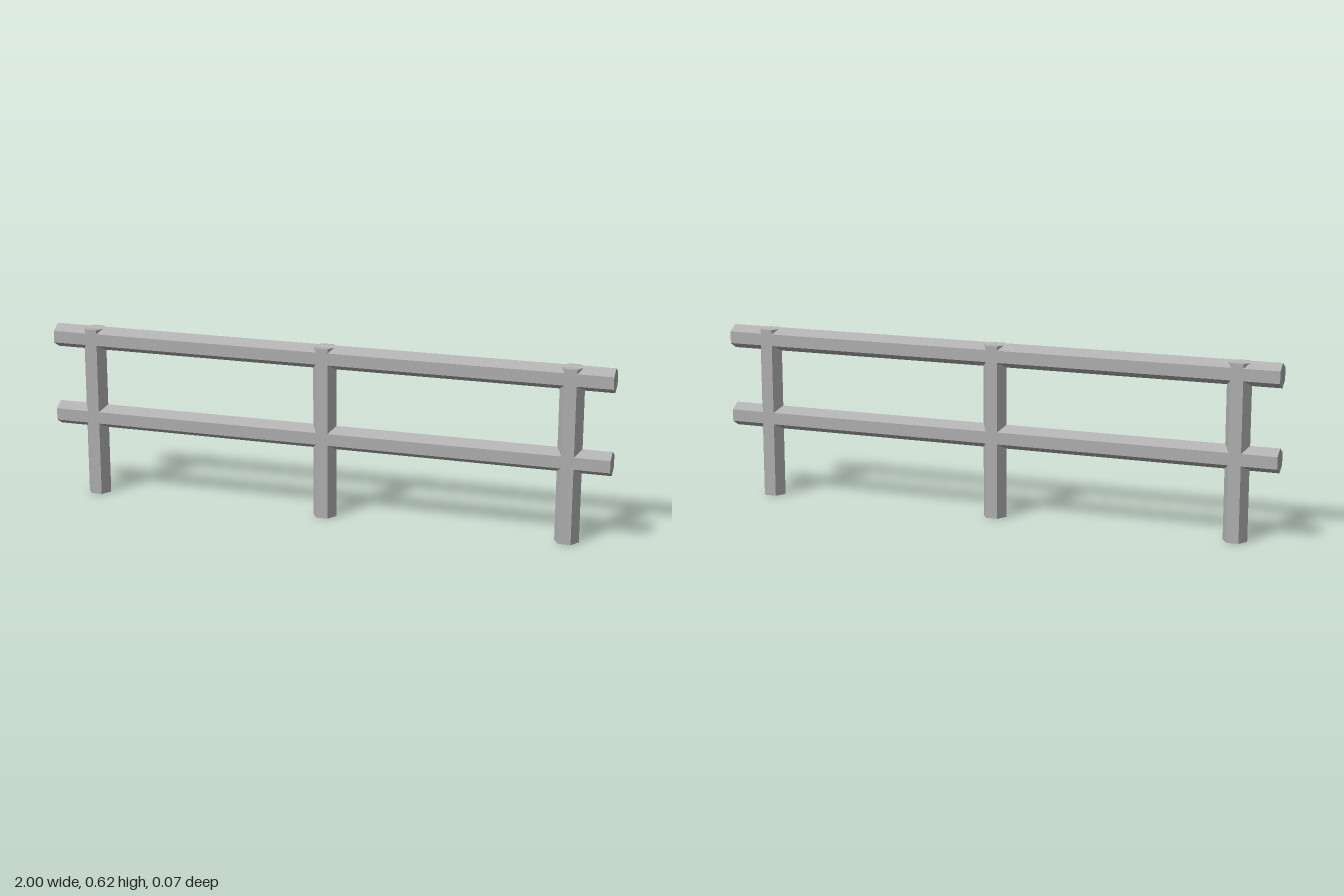
import * as THREE from 'three';

const RADIUS = 0.0422;

export function createModel() {
  const group = new THREE.Group();
  group.name = 'railFence';

  const grey = new THREE.MeshStandardMaterial({ color: 0xb0b0b0 });
  grey.name = 'grey';

  // Six-sided beam standing on y, flats facing front and back
  const beam = (name, length) => {
    const geometry = new THREE.CylinderGeometry(RADIUS, RADIUS, length, 6)
      .rotateY(Math.PI / 6)
      .toNonIndexed();
    geometry.computeVertexNormals();
    const mesh = new THREE.Mesh(geometry, grey);
    mesh.name = name;
    group.add(mesh);
    return mesh;
  };

  // Upright posts
  const postHeight = 0.609;
  for (const [name, x] of [['rightPost', -0.857], ['middlePost', 0], ['leftPost', 0.857]]) {
    beam(name, postHeight).position.set(x, postHeight / 2, 0);
  }

  // Horizontal rails, edges pointing up and down
  for (const [name, y] of [['lowerRail', 0.287], ['upperRail', 0.573]]) {
    const rail = beam(name, 2);
    rail.rotation.z = Math.PI / 2;
    rail.position.y = y;
  }

  return group;
}
